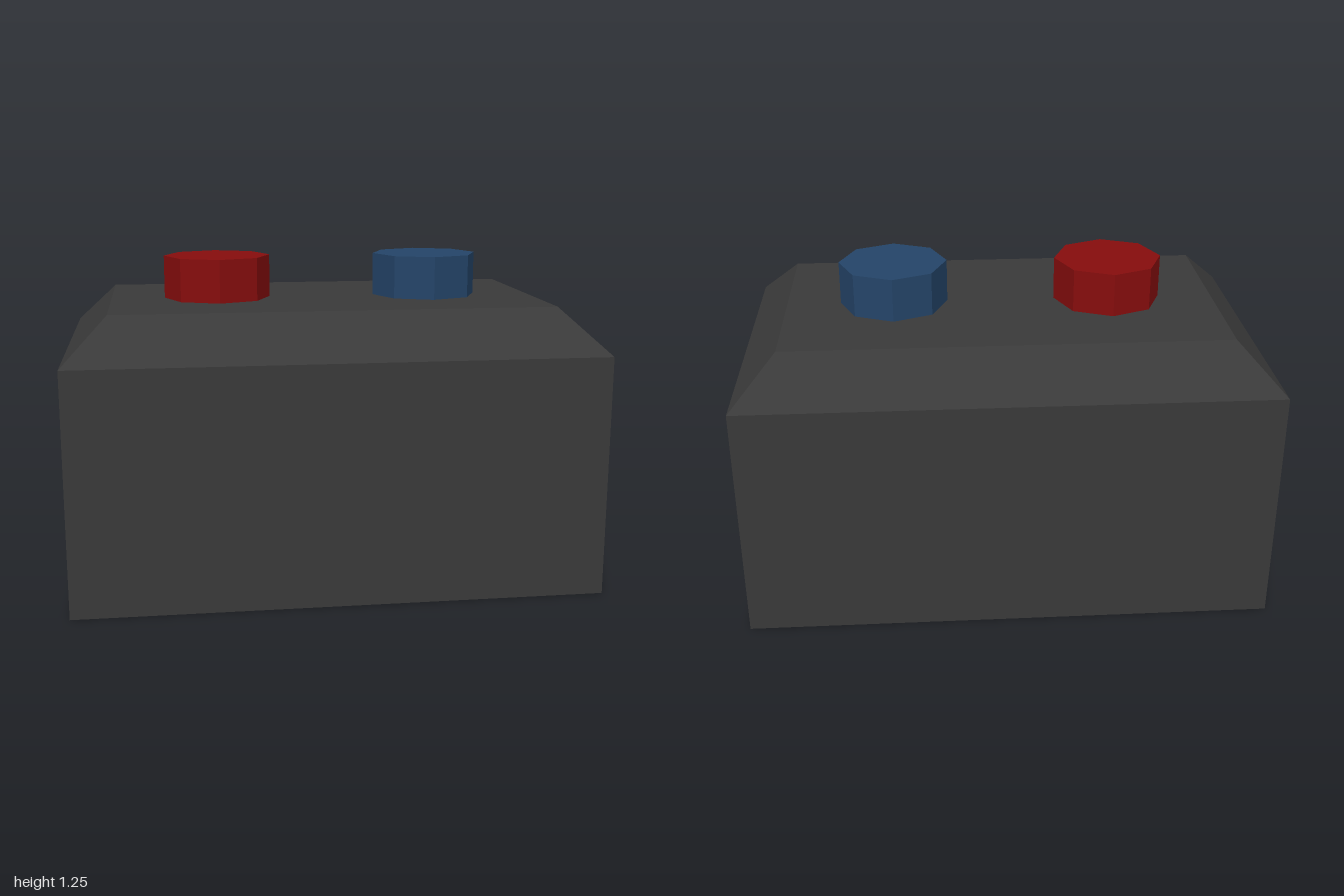
import * as THREE from 'three';

const casingGrey = new THREE.MeshStandardMaterial({ name: 'casing grey', color: 0x393939, flatShading: true, side: THREE.DoubleSide });
const terminalRed = new THREE.MeshStandardMaterial({ name: 'terminal red', color: 0x860d0d, flatShading: true });
const terminalBlue = new THREE.MeshStandardMaterial({ name: 'terminal blue', color: 0x244468, flatShading: true });

const BEVEL = 0.167, SHOULDER = 0.917, TOP = 1.083;

// Rectangular sections [halfWidth, y, halfDepth] joined upwards, capped on top, open below
function shellGeometry(sections) {
  const corners = [[1, 1], [1, -1], [-1, -1], [-1, 1]];
  const positions = [];
  for (const [w, y, d] of sections) {
    for (const [sx, sz] of corners) positions.push(sx * w, y, sz * d);
  }
  const index = [];
  const quad = (a, b, c, d) => index.push(a, b, c, a, c, d);
  for (let s = 0; s < sections.length - 1; s++) {
    for (let i = 0; i < 4; i++) {
      const a = s * 4 + i, b = s * 4 + (i + 1) % 4;
      quad(a, b, b + 4, a + 4);
    }
  }
  const t = (sections.length - 1) * 4;
  quad(t, t + 1, t + 2, t + 3);
  const indexed = new THREE.BufferGeometry();
  indexed.setAttribute('position', new THREE.Float32BufferAttribute(positions, 3));
  indexed.setIndex(index);
  const geometry = indexed.toNonIndexed();
  geometry.computeVertexNormals();
  return geometry;
}

export function createModel() {
  const model = new THREE.Group();
  model.name = 'battery';

  // Hollow casing with a bevelled shoulder
  const casing = new THREE.Mesh(shellGeometry([
    [1, 0, 0.625],
    [1, SHOULDER, 0.625],
    [1 - BEVEL, TOP, 0.625 - BEVEL],
  ]), casingGrey);
  casing.name = 'casing';
  model.add(casing);

  // Octagonal terminals on top
  const terminalGeometry = new THREE.CylinderGeometry(0.208, 0.208, 0.167, 8);
  for (const [name, x, material] of [
    ['rightTerminal', -0.417, terminalRed],
    ['leftTerminal', 0.417, terminalBlue],
  ]) {
    const terminal = new THREE.Mesh(terminalGeometry, material);
    terminal.name = name;
    // Sunk a hair so its hidden base does not share the casing's top plane
    terminal.position.set(x, TOP + 0.0825, 0);
    model.add(terminal);
  }

  return model;
}
